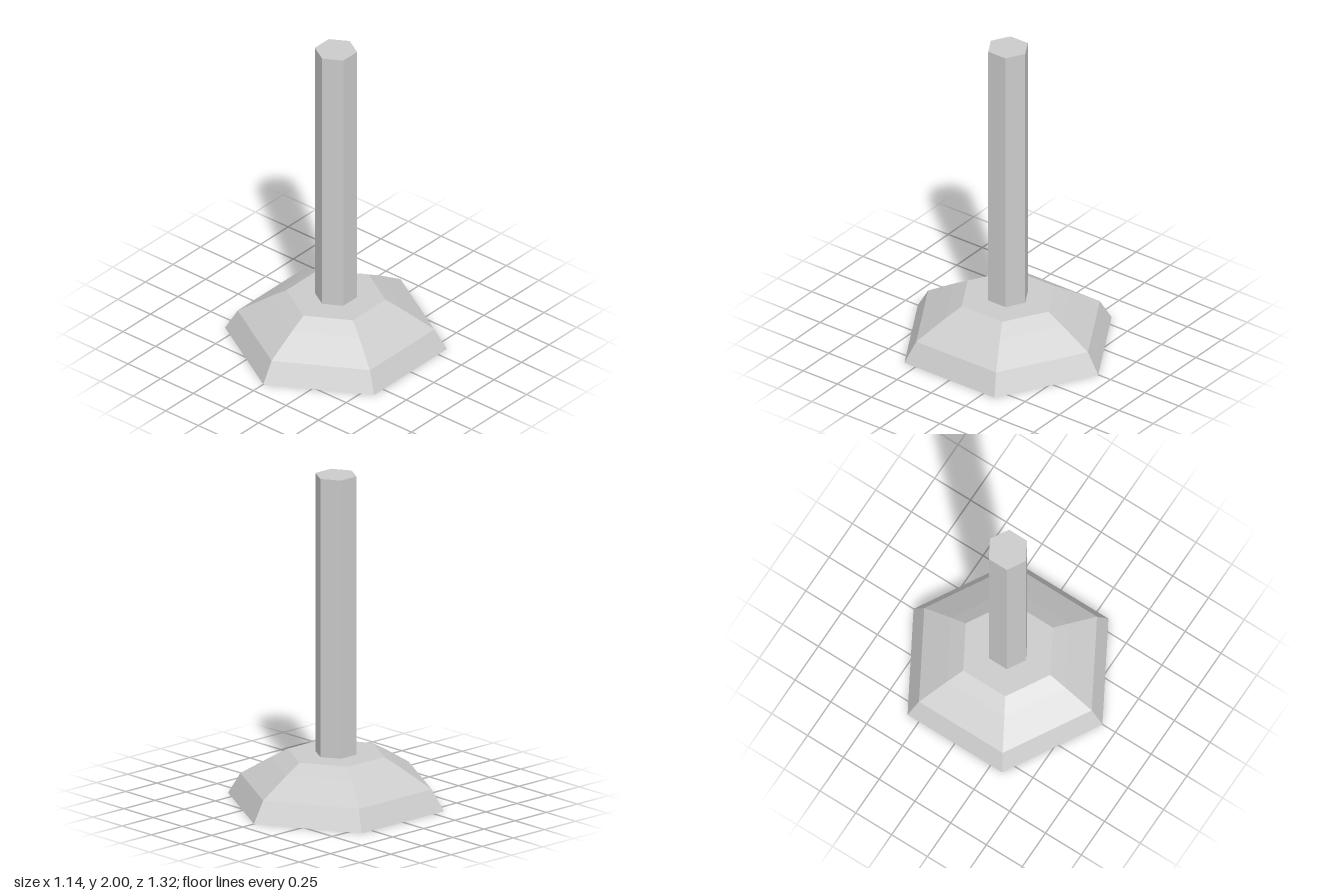
import * as THREE from 'three';

const SIDES = 6;

export function createModel() {
  const group = new THREE.Group();
  const material = new THREE.MeshStandardMaterial({ color: 0xcccccc, flatShading: true });

  // Faceted foot with a shallow recess underneath: [radius, height]
  const profile = [
    [0, 0.065], [0.5, 0.065], [0.5, 0], [0.66, 0],
    [0.585, 0.127], [0.4, 0.241], [0.295, 0.3], [0, 0.3],
  ].map(([r, y]) => new THREE.Vector2(r, y));
  const foot = new THREE.Mesh(new THREE.LatheGeometry(profile, SIDES), material);
  foot.name = 'foot';
  group.add(foot);

  // Hexagonal post standing on the foot
  const post = new THREE.Mesh(new THREE.CylinderGeometry(0.126, 0.126, 1.7, SIDES), material);
  post.position.y = 1.15;
  post.name = 'post';
  group.add(post);

  return group;
}
